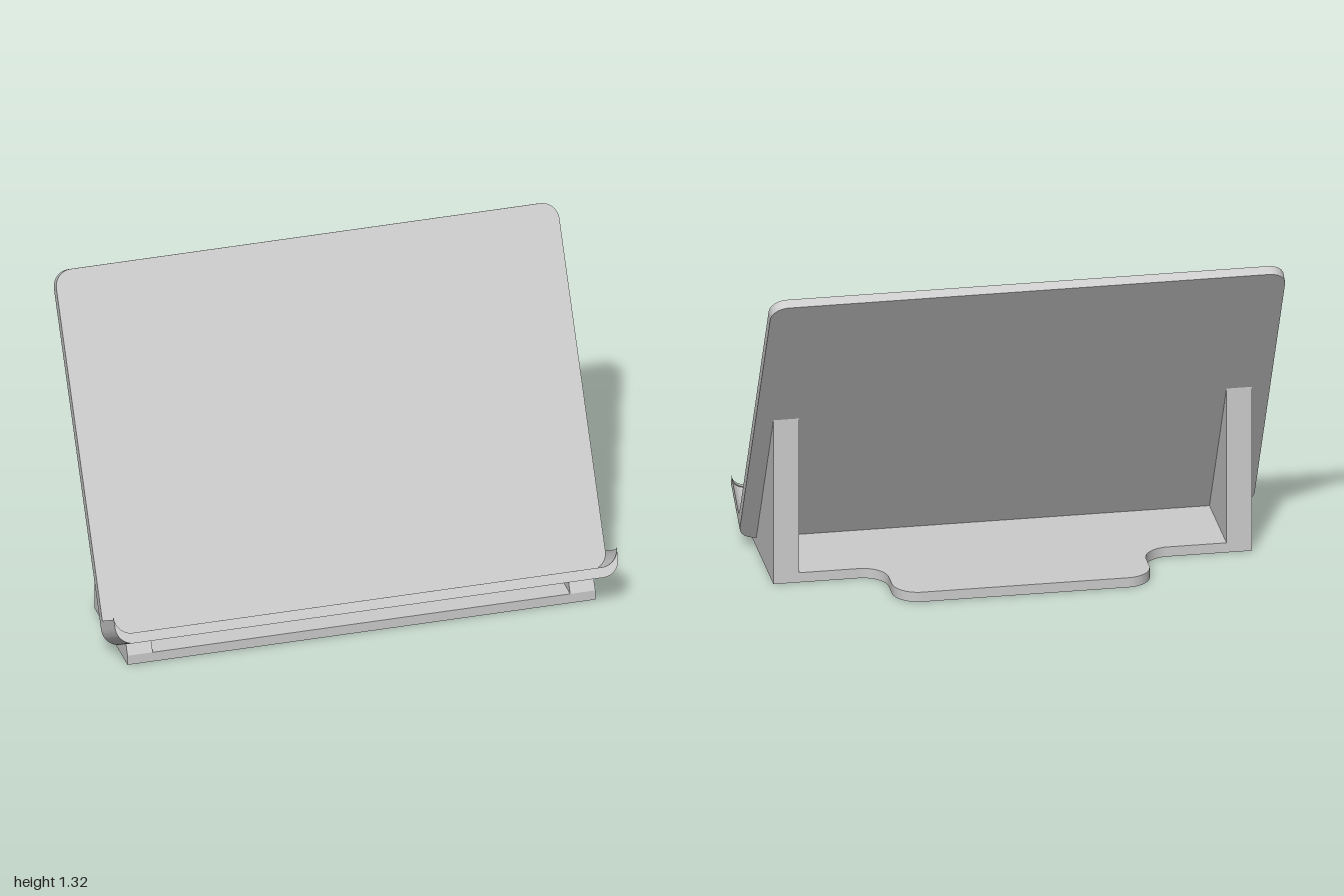
import * as THREE from 'three';
import { toCreasedNormals } from 'three/addons/utils/BufferGeometryUtils.js';

const HALF = Math.PI / 2;
const R = 0.067; // corner radius of the panel

export function createModel() {
  const model = new THREE.Group();
  model.name = 'tabletStand';
  const grey = new THREE.MeshStandardMaterial({ color: 0xcccccc });
  grey.name = 'lightGrey';

  const extrude = (shape, depth) => toCreasedNormals(
    new THREE.ExtrudeGeometry(shape, { depth, bevelEnabled: false, curveSegments: 12 }), 0.5);
  const add = (parent, name, geometry) => {
    const mesh = new THREE.Mesh(geometry, grey);
    mesh.name = name;
    parent.add(mesh);
    return mesh;
  };

  // Leaning panel and ledge share a frame tilted 30 degrees back
  const rest = new THREE.Group();
  rest.name = 'leaningRest';
  rest.position.set(0, 0.04, 0.265);
  rest.rotation.x = -Math.PI / 6;
  model.add(rest);

  // Back panel: rounded rectangle
  const L = 1.45;
  const panel = new THREE.Shape();
  panel.absarc(-1 + R, R, R, 2 * HALF, 3 * HALF);
  panel.absarc(1 - R, R, R, 3 * HALF, 4 * HALF);
  panel.absarc(1 - R, L - R, R, 0, HALF);
  panel.absarc(-1 + R, L - R, R, HALF, 2 * HALF);
  add(rest, 'backPanel', extrude(panel, 0.04));

  // Ledge cross-section: shallow tray whose ends curl up to thin tips
  const tray = (s) => {
    const shape = new THREE.Shape();
    shape.moveTo(-1, R + s);
    shape.absarc(-1 + R, R, R, 2 * HALF, 3 * HALF);
    shape.absarc(1 - R, R, R, 3 * HALF, 4 * HALF);
    shape.lineTo(1, R + s);
    shape.absarc(1 - R, R + s, R, 0, -HALF, true);
    shape.absarc(-1 + R, R + s, R, 3 * HALF, 2 * HALF, true);
    return shape;
  };
  add(rest, 'ledge', extrude(tray(0.033), 0.175)).position.z = 0.04;
  add(rest, 'ledgeRim', extrude(tray(0.04), 0.01)).position.z = 0.215;

  // Base plate with a rear foot blended in by fillets (shape y is -z)
  const f = 0.1, w = 0.5, back = 0.105, end = 0.375;
  const base = new THREE.Shape();
  base.moveTo(-0.93, -0.355);
  base.lineTo(0.93, -0.355);
  base.lineTo(0.93, back);
  base.absarc(w + f, back + f, f, 3 * HALF, 2 * HALF, true);
  base.absarc(w - f, end - f, f, 0, HALF);
  base.absarc(-w + f, end - f, f, HALF, 2 * HALF);
  base.absarc(-w - f, back + f, f, 0, -HALF, true);
  base.lineTo(-0.93, back);
  base.closePath();
  add(model, 'basePlate', extrude(base, 0.04).rotateX(-HALF));

  // Side gussets: wedge behind the panel plus a small toe under the ledge
  const side = new THREE.Shape([
    [0.355, 0.04], [0.333, 0.079], [0.27, 0.044], [0.2627, 0.044], [-0.105, 0.681], [-0.105, 0.04],
  ].map(([z, y]) => new THREE.Vector2(z, y)));
  const gusset = extrude(side, 0.1).rotateY(-HALF);
  add(model, 'leftGusset', gusset).position.x = 0.93;
  add(model, 'rightGusset', gusset).position.x = -0.83;

  return model;
}
